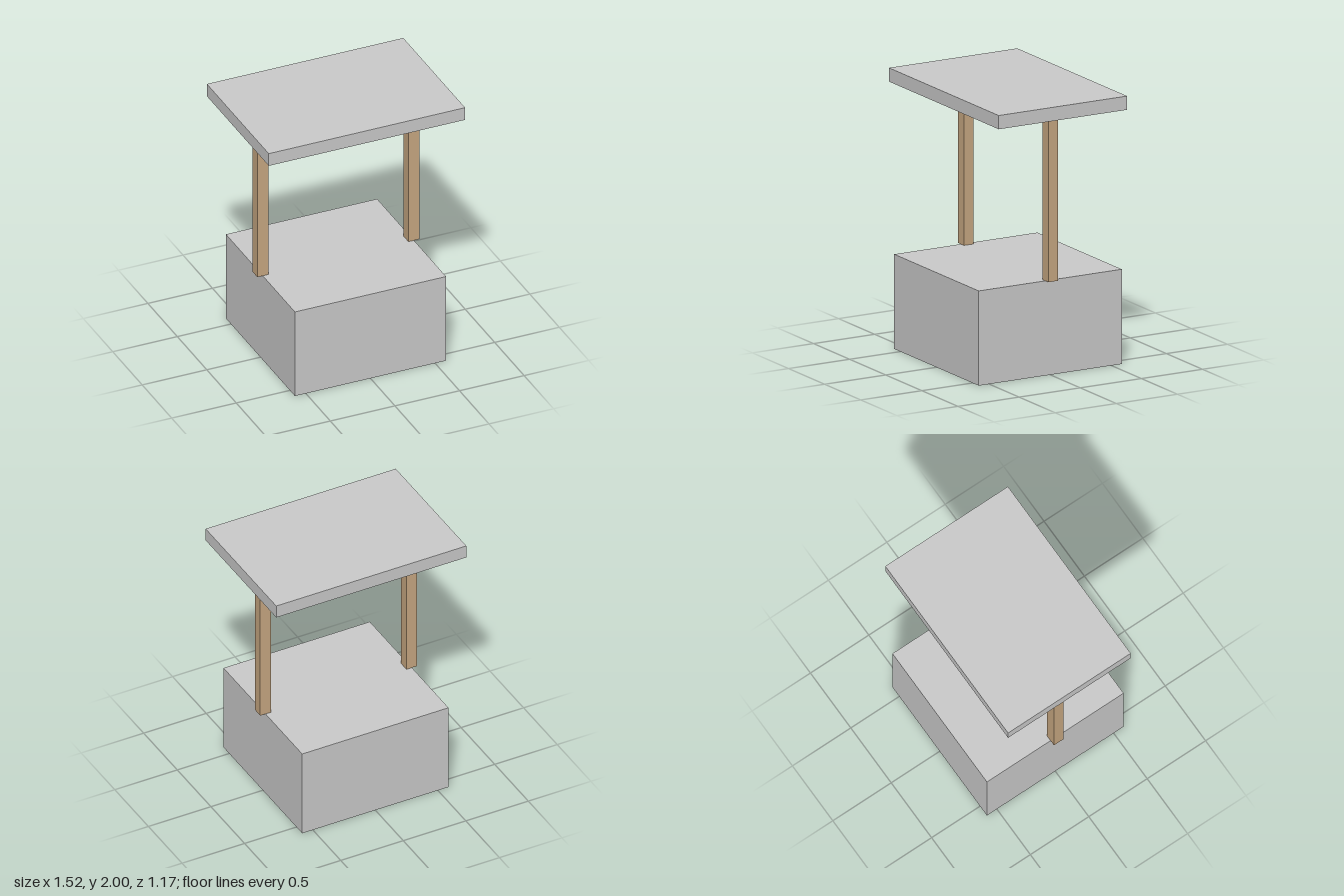
import * as THREE from 'three';

export function createModel() {
  const model = new THREE.Group();
  const grey = new THREE.MeshStandardMaterial({ color: 0xcccccc });
  const wood = new THREE.MeshStandardMaterial({ color: 0xc8a882 });

  // Box standing on height y
  const addBox = (name, material, [w, h, d], x, y) => {
    const mesh = new THREE.Mesh(new THREE.BoxGeometry(w, h, d), material);
    mesh.name = name;
    mesh.position.set(x, y + h / 2, 0);
    model.add(mesh);
  };

  const baseHeight = 0.69;
  const postHeight = 1.21;

  // Solid square base
  addBox('base', grey, [1.17, baseHeight, 1.17], 0, 0);

  // Two posts centred on the side edges of the base
  for (const [name, side] of [['leftPost', 1], ['rightPost', -1]]) {
    addBox(name, wood, [0.085, postHeight, 0.08], side * 0.585, baseHeight);
  }

  // Flat roof slab
  addBox('roof', grey, [1.52, 0.1, 1.05], 0, baseHeight + postHeight);

  return model;
}
